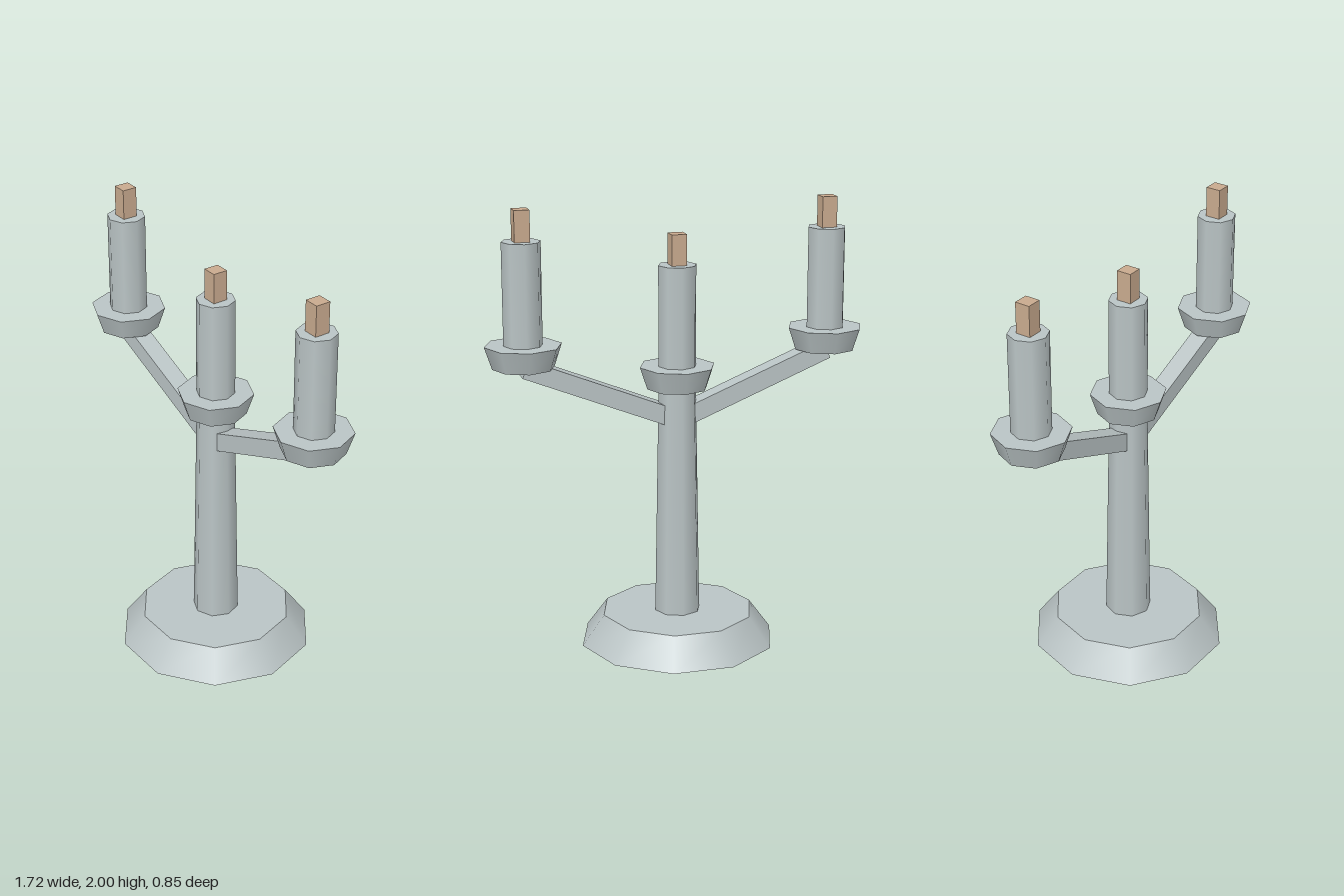
import * as THREE from 'three';

const metal = new THREE.MeshStandardMaterial({ color: 0xbac4c5 });
metal.name = 'pale metal';
const wickTan = new THREE.MeshStandardMaterial({ color: 0xc8aa8e });
wickTan.name = 'wick tan';

function add(parent, name, geometry, material, x, y, z = 0) {
  const mesh = new THREE.Mesh(geometry, material);
  mesh.name = name;
  mesh.position.set(x, y, z);
  parent.add(mesh);
  return mesh;
}

// Upright tapered prism standing on yBottom
function addColumn(parent, name, rTop, rBottom, yBottom, yTop, sides) {
  const geometry = new THREE.CylinderGeometry(rTop, rBottom, yTop - yBottom, sides);
  return add(parent, name, geometry, metal, 0, (yBottom + yTop) / 2);
}

// Cup, candle and square wick, with the cup's underside at y
function addCandle(parent, name, x, y) {
  const group = new THREE.Group();
  group.name = name;
  group.position.set(x, y, 0);
  addColumn(group, 'cup', 0.17, 0.137, 0, 0.1, 8);
  addColumn(group, 'candle', 0.086, 0.086, 0.1, 0.55, 8);
  add(group, 'wick', new THREE.BoxGeometry(0.068, 0.137, 0.068), wickTan, 0, 0.6185);
  parent.add(group);
}

export function createModel() {
  const model = new THREE.Group();
  model.name = 'candelabra';

  // Ten-sided foot with corners on the x axis, and the tapered stem
  addColumn(model, 'base', 0.345, 0.445, 0, 0.137, 10).rotation.y = Math.PI / 2;
  addColumn(model, 'stem', 0.086, 0.104, 0.137, 1.177, 8);

  addCandle(model, 'centreCandle', 0, 1.177);

  // Mirrored sloping arms, each ending under a side candle
  const inner = new THREE.Vector2(0.03, 1.049);
  const outer = new THREE.Vector2(0.686, 1.313);
  const length = inner.distanceTo(outer);
  const slope = Math.atan2(outer.y - inner.y, outer.x - inner.x);
  for (const [side, s] of [['left', 1], ['right', -1]]) {
    const arm = add(model, side + 'Arm', new THREE.BoxGeometry(length, 0.082, 0.086), metal,
      s * (inner.x + outer.x) / 2, (inner.y + outer.y) / 2);
    arm.rotation.z = s * slope;
    addCandle(model, side + 'Candle', s * 0.688, 1.313);
  }
  return model;
}
